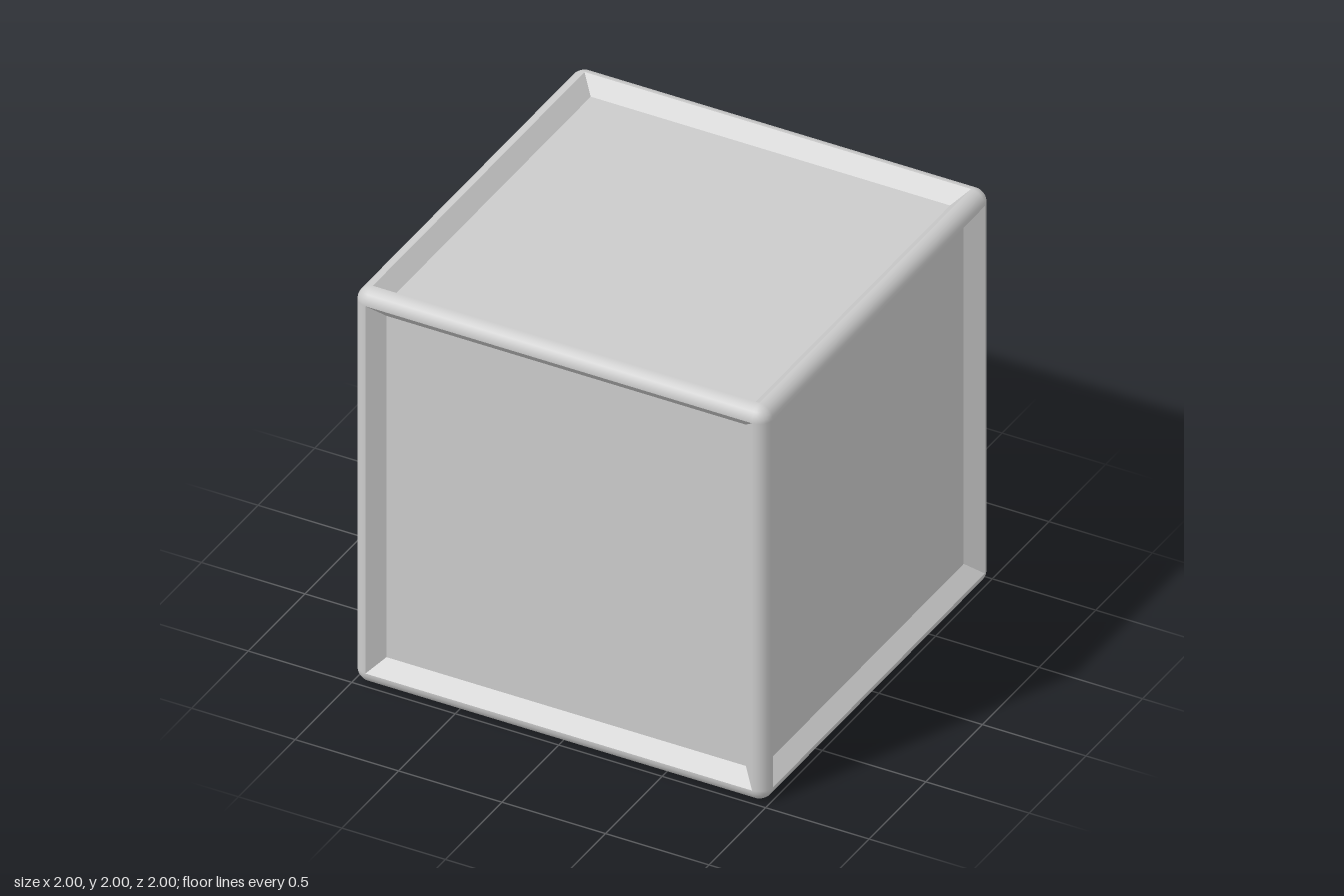
import * as THREE from 'three';

const HALF = 1;        // half of the cube's side
const R = 0.066;       // edge radius, also the width and depth of the panel bevel
const INNER = HALF - R;
const STEPS = 6;       // segments around each rounded edge
const Q = Math.PI / 2;

export function createModel() {
  const model = new THREE.Group();
  model.name = 'panelledCube';
  const cube = new THREE.Group();
  cube.name = 'cube';
  cube.position.y = HALF;
  model.add(cube);

  const smooth = new THREE.MeshStandardMaterial({ color: 0xcccccc });
  const flat = new THREE.MeshStandardMaterial({ color: 0xcccccc, flatShading: true });

  const add = (name, geometry, material, rx, ry, rz) => {
    const mesh = new THREE.Mesh(geometry, material);
    mesh.name = name;
    mesh.rotation.set(rx, ry, rz);
    cube.add(mesh);
  };

  // Recessed panel with four sloping sides, facing +y
  const d = Math.SQRT2;
  const panel = new THREE.LatheGeometry([
    new THREE.Vector2(INNER * d, HALF),
    new THREE.Vector2((INNER - R) * d, INNER),
    new THREE.Vector2(0, INNER),
  ], 4, Math.PI / 4).toNonIndexed();
  panel.computeVertexNormals();
  const faces = {
    top: [0, 0], bottom: [2 * Q, 0], front: [Q, 0], back: [-Q, 0], left: [0, -Q], right: [0, Q],
  };
  for (const [side, [rx, rz]] of Object.entries(faces)) add(side + 'Panel', panel, flat, rx, 0, rz);

  // Quarter-round edges: four along each axis
  const edge = new THREE.CylinderGeometry(R, R, 2 * INNER, STEPS, 1, true, 0, Q);
  edge.translate(INNER, 0, INNER);
  for (let i = 0; i < 4; i++) {
    add('uprightEdge', edge, smooth, 0, i * Q, 0);
    add('depthEdge', edge.clone().rotateY(i * Q), smooth, Q, 0, 0);
    add('crossEdge', edge.clone().rotateY(i * Q), smooth, 0, 0, Q);
  }

  // Ball corners: one eighth of a sphere each, four above and four below
  const corner = new THREE.SphereGeometry(R, STEPS, STEPS, Q, Q, 0, Q);
  corner.translate(INNER, INNER, INNER);
  for (let i = 0; i < 4; i++) {
    add('topCorner', corner, smooth, 0, i * Q, 0);
    add('bottomCorner', corner, smooth, Math.PI, i * Q, 0);
  }

  return model;
}
